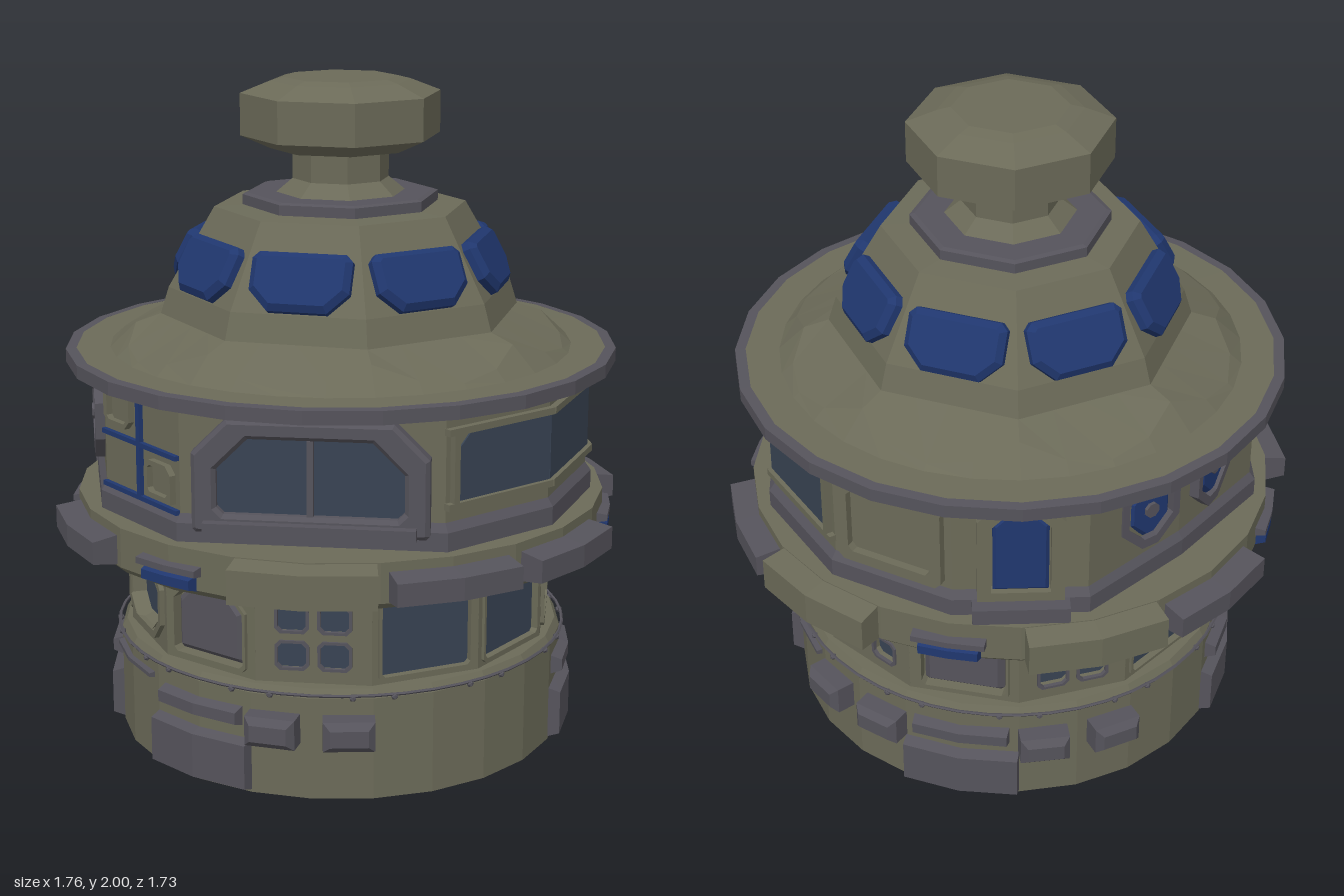
import * as THREE from 'three';

const mat = (color) => new THREE.MeshStandardMaterial({ color, flatShading: true, side: THREE.DoubleSide });
const olive = mat(0x6b6a58), grey = mat(0x55535b), blue = mat(0x20376f), glass = mat(0x384353);
const rad = THREE.MathUtils.degToRad;
const V = (x, y) => new THREE.Vector2(x, y);

export function createModel() {
  const root = new THREE.Group();
  root.name = 'tower';
  root.position.z = 0.018;

  const add = (name, geo, m, parent = root) => {
    const mesh = new THREE.Mesh(geo, m);
    mesh.name = name;
    parent.add(mesh);
    return mesh;
  };
  // Group facing outwards at an angle measured from +z towards +x
  const mount = (name, angle, r, y) => {
    const g = new THREE.Group(), a = rad(angle);
    g.name = name;
    g.position.set(Math.sin(a) * r, y, Math.cos(a) * r);
    g.rotation.y = a;
    root.add(g);
    return g;
  };
  const lathe = (name, pts, sides, m, start = 0) =>
    add(name, new THREE.LatheGeometry(pts.map((p) => V(...p)), sides, rad(start)), m);
  // Rectangle outline with cut corners
  const outline = (w, h, top = 0, bottom = 0, x = 0, y = 0) => [
    [-w / 2 + bottom, -h / 2], [w / 2 - bottom, -h / 2], [w / 2, -h / 2 + bottom], [w / 2, h / 2 - top],
    [w / 2 - top, h / 2], [-w / 2 + top, h / 2], [-w / 2, h / 2 - top], [-w / 2, -h / 2 + bottom],
  ].map(([a, b]) => V(a + x, b + y)).filter((p, i, all) => !i || p.distanceTo(all[i - 1]) > 1e-4);
  // Plate from z = 0 to z = depth, with optional holes and a bevelled front
  const plate = (name, pts, depth, m, parent, { holes = [], bevel = 0, z = 0, y = 0, x = 0 } = {}) => {
    const s = new THREE.Shape(pts);
    holes.forEach((h) => s.holes.push(new THREE.Path(h)));
    const geo = new THREE.ExtrudeGeometry(s, {
      depth: depth - bevel, bevelEnabled: bevel > 0, bevelSize: bevel, bevelThickness: bevel, bevelOffset: -bevel, bevelSegments: 1,
    });
    const mesh = add(name, geo, m, parent);
    mesh.position.set(x, y, z);
    return mesh;
  };
  const box = (name, w, h, d, m, parent, x = 0, y = 0, z = 0) => {
    const mesh = add(name, new THREE.BoxGeometry(w, h, d), m, parent);
    mesh.position.set(x, y, z);
    return mesh;
  };
  // Block bent around the tower, its outer face inset by a bevel
  const arcBlock = (name, angle, half, r0, r1, y0, y1, m, bevel = 0.015) => {
    const geo = new THREE.BoxGeometry(2, 1, 1, 2, 1, 1), p = geo.attributes.position;
    for (let i = 0; i < p.count; i++) {
      const out = p.getZ(i) > 0, b = out ? bevel : 0, r = out ? r1 : r0;
      const a = rad(angle) + p.getX(i) * (rad(half) - b);
      p.setXYZ(i, Math.sin(a) * r, p.getY(i) > 0 ? y1 - b : y0 + b, Math.cos(a) * r);
    }
    return add(name, geo, m);
  };

  // Open base drum with ledge
  lathe('baseDrum', [[0.685, 0], [0.685, 0.31], [0.67, 0.335], [0.6, 0.335]], 24, olive);
  for (const a of [0, 120, 210, 300]) {
    arcBlock('footBlock', a, 15.5, 0.66, 0.72, 0, 0.175, grey, 0.02).position.y = 0;
    arcBlock('footPanel', a, 13, 0.66, 0.715, 0.195, 0.27, grey, 0.02);
  }
  for (const a of [30, 180, 240])
    for (const s of [-1, 1]) {
      const g = mount('utilityBox', a + s * 9, 0.67, 0.215);
      plate('boxBody', outline(0.15, 0.09), 0.085, grey, g, { y: 0, bevel: 0.02 });
    }
  for (const a of [150, 330]) arcBlock('thinBar', a, 13, 0.66, 0.7, 0.258, 0.282, grey, 0.006);

  // Railing with knobs
  const rail = add('rail', new THREE.TorusGeometry(0.692, 0.005, 5, 48), grey);
  rail.rotation.x = Math.PI / 2;
  rail.position.y = 0.322;
  for (let k = 0; k < 12; k++)
    for (const s of [-5, 5])
      add('railKnob', new THREE.IcosahedronGeometry(0.011, 0), grey, mount('railMount', 15 + 30 * k + s, 0.69, 0.315));

  // Band of twelve wall panels: arch, four panes, window, hatch
  [...'AFWWAHFAFWAH'].forEach((type, k) => {
    const g = mount('bandPanel', 30 * k, 0.595, 0.475), wall = outline(0.338, 0.29);
    const frame = (holes) => plate('panelWall', wall, 0.035, olive, g, { holes });
    const sheet = (w, h, m) => box('panelBack', w, h, 0.004, m, g, 0, 0, 0.006);
    if (type === 'A') {
      const hole = outline(0.26, 0.225, 0.06, 0.012);
      frame([hole]);
      sheet(0.3, 0.26, olive);
      plate('archTrim', outline(0.28, 0.245, 0.066, 0.012), 0.014, olive, g, { holes: [hole], z: 0.033 });
      plate('archDoor', outline(0.245, 0.21, 0.055, 0.01), 0.04, grey, g, { bevel: 0.018 });
    } else if (type === 'F') {
      const panes = [];
      for (const x of [-0.062, 0.062])
        for (const y of [-0.056, 0.056]) panes.push(outline(0.1, 0.09, 0.015, 0.015, x, y));
      frame(panes);
      panes.forEach((p) => plate('paneTrim', p, 0.012, grey, g, {
        z: 0.03, holes: [p.map((q) => q.clone().sub(V(Math.sign(q.x) * 0.062, Math.sign(q.y) * 0.056)).multiplyScalar(0.82)
          .add(V(Math.sign(q.x) * 0.062, Math.sign(q.y) * 0.056)))],
      }));
      sheet(0.28, 0.24, glass);
    } else if (type === 'W') {
      const hole = outline(0.28, 0.235, 0.01, 0.01);
      frame([hole]);
      plate('windowTrim', outline(0.3, 0.255, 0.01, 0.01), 0.01, olive, g, { holes: [hole], z: 0.034 });
      box('windowGlass', 0.285, 0.24, 0.02, glass, g, 0, 0, 0.012);
    } else {
      frame([outline(0.27, 0.2, 0.05, 0.05)]);
      const funnel = add('hatchFunnel', new THREE.CylinderGeometry(0.145, 0.1, 0.06, 8, 1, true, Math.PI / 8), olive, g);
      funnel.rotation.x = Math.PI / 2;
      funnel.scale.z = 0.78;
      funnel.position.z = 0.02;
      plate('hatchTrim', outline(0.3, 0.23, 0.06, 0.06), 0.016, olive, g, { holes: [outline(0.26, 0.19, 0.048, 0.048)], z: 0.034 });
      plate('hatchGlass', outline(0.2, 0.15, 0.045, 0.045), 0.01, glass, g);
    }
  });
  lathe('bandCornice', [[0.6, 0.585], [0.652, 0.6], [0.665, 0.63]], 12, olive, 15);

  // Overhanging ring with plates and blue vents
  lathe('ring', [[0.61, 0.62], [0.785, 0.62], [0.805, 0.64], [0.805, 0.76], [0.62, 0.76]], 24, olive);
  [...'VOGGVGOVOGVG'].forEach((type, k) => {
    const a = 30 * k;
    if (type === 'O') arcBlock('ringBlock', a, 14.5, 0.78, 0.88, 0.635, 0.76, olive, 0.012);
    else if (type === 'G') arcBlock('ringPlate', a, 13.5, 0.78, 0.878, 0.64, 0.735, grey, 0.014);
    else {
      arcBlock('ventHood', a, 8, 0.78, 0.83, 0.68, 0.715, grey, 0.008);
      arcBlock('ventLight', a, 7, 0.78, 0.828, 0.632, 0.69, blue, 0.015);
    }
  });

  // Twelve-sided room, flattened at two corners
  const flatten = (mesh, n) => {
    const p = mesh.geometry.attributes.position;
    for (let i = 0; i < p.count; i++) {
      const k = Math.floor(i / n) % 12, f = k === 1 ? 0.866 : k === 9 ? 0.9 : 1;
      p.setXYZ(i, p.getX(i) * f, p.getY(i), p.getZ(i) * f);
    }
  };
  flatten(lathe('roomWall', [[0.75, 0.76], [0.75, 1.165]], 12, olive), 2);
  flatten(lathe('roomSkirt', [[0.768, 0.76], [0.768, 0.815], [0.75, 0.84]], 12, grey), 3);

  // Large framed window
  const bay = mount('bayWindow', 30, 0.63, 0.965);
  const bayHole = outline(0.53, 0.22, 0.09, 0.02);
  plate('bayFrame', outline(0.67, 0.33, 0.1, 0.01), 0.07, grey, bay, { holes: [bayHole], bevel: 0.012 });
  plate('bayGlass', outline(0.54, 0.23, 0.09, 0.02), 0.04, glass, bay);
  box('bayMullion', 0.018, 0.22, 0.06, grey, bay, 0, 0, 0.03);
  box('baySill', 0.6, 0.035, 0.1, grey, bay, 0, -0.145, 0.05);

  // Panorama window across four faces
  [75, 105, 135, 165].forEach((a, k) => {
    const g = mount('panorama', a, 0.724, 0.995), w = 0.194, end = k === 0 ? -1 : k === 3 ? 1 : 0;
    const L = end < 0 ? -w + 0.04 : -w, R = end > 0 ? w - 0.04 : w, cl = end < 0 ? 0.05 : 0, cr = end > 0 ? 0.05 : 0;
    const pts = [V(L, -0.1), V(R, -0.1), V(R, 0.1 - cr), V(R - cr - 1e-3, 0.1), V(L + cl + 1e-3, 0.1), V(L, 0.1 - cl)];
    plate('panoramaGlass', pts, 0.006, glass, g);
    for (const s of [-1, 1]) box('panoramaTrim', 0.394, 0.02, 0.03, olive, g, 0, s * 0.108, 0.005);
    if (end) box('panoramaEnd', 0.02, 0.236, 0.03, olive, g, end * 0.168, 0, 0.005);
  });

  // Cross-piped wall with two small boxes
  const cross = mount('pipeWall', 345, 0.724, 1);
  box('pipeUpright', 0.018, 0.32, 0.03, blue, cross);
  box('pipeRail', 0.385, 0.014, 0.03, blue, cross);
  box('pipeFoot', 0.385, 0.014, 0.03, blue, cross, 0, -0.16);
  for (const s of [-1, 1])
    plate('wallBox', outline(0.135, 0.11, s < 0 ? 0 : 0.025, s < 0 ? 0.025 : 0), 0.02, olive, cross,
      { holes: [outline(0.1, 0.08, 0.01, 0.01)], x: s * 0.105, y: -s * 0.085 });

  // Octagonal portholes
  for (const [a, r] of [[315, 0.724], [258, 0.672], [282, 0.672]]) {
    const g = mount('porthole', a, r, 1.005), w = a === 315 ? 1 : 0.8;
    plate('portholeFrame', outline(0.26 * w, 0.26, 0.075, 0.075), 0.03, grey, g, { holes: [outline(0.2 * w, 0.2, 0.058, 0.058)] });
    plate('portholeGlass', outline(0.18 * w, 0.19, 0.055, 0.055), 0.025, blue, g, { bevel: 0.012 });
    plate('portholeHub', outline(0.045, 0.045, 0.013, 0.013), 0.035, grey, g);
  }

  // Blue door and plain side panel
  const door = mount('door', 225, 0.724, 0.985);
  plate('doorFrame', outline(0.25, 0.33, 0.05), 0.035, olive, door, { holes: [outline(0.17, 0.27, 0.04)] });
  plate('doorLeaf', outline(0.16, 0.27, 0.04), 0.025, blue, door, { bevel: 0.01 });
  box('doorStep', 0.28, 0.05, 0.08, grey, door, 0, -0.195, 0.03);
  const side = mount('sidePanel', 195, 0.724, 1);
  plate('sidePanelFrame', outline(0.34, 0.31, 0.05, 0.02), 0.025, olive, side, { holes: [outline(0.27, 0.24, 0.04, 0.015)] });

  // Wide roof rim
  lathe('rimUnderside', [[0.64, 1.163], [0.805, 1.163]], 24, olive);
  lathe('rimEdge', [[0.8, 1.16], [0.832, 1.16], [0.832, 1.2], [0.8, 1.202]], 24, grey);
  lathe('rimTop', [[0.805, 1.2], [0.66, 1.202]], 24, olive);

  // Scalloped foot of the dome, merging into an octagon
  const foot = lathe('domeFoot', [[0.7, 1.2], [0.62, 1.275], [0.545, 1.3]], 32, olive);
  const p = foot.geometry.attributes.position;
  for (let i = 0; i < p.count; i++) {
    const t = Math.floor(i / 3) * Math.PI / 16, j = i % 3, w = Math.abs(Math.sin(4 * t));
    const flat = Math.cos(Math.PI / 8) / Math.cos((t % (Math.PI / 4)) - Math.PI / 8);
    const r = j === 0 ? 0.7 : j === 1 ? 0.62 + 0.06 * w : 0.545 * flat;
    p.setXYZ(i, Math.sin(t) * r, j === 1 ? 1.275 - 0.06 * w : p.getY(i), Math.cos(t) * r);
  }

  // Dome, cap disc, neck and head
  lathe('dome', [[0.545, 1.3], [0.52, 1.38], [0.38, 1.62], [0.2, 1.63]], 8, olive);
  lathe('capDisc', [[0.295, 1.62], [0.295, 1.655], [0.28, 1.66], [0, 1.66]], 8, grey);
  lathe('neck', [[0.2, 1.655], [0.145, 1.7], [0.145, 1.8]], 8, olive);
  lathe('head', [[0, 1.79], [0.21, 1.79], [0.3, 1.83], [0.3, 1.955], [0.21, 1.99], [0.17, 2], [0, 2]], 8, olive);

  // Eight blue dome windows
  for (let k = 0; k < 8; k++) {
    const g = mount('domeWindow', 22.5 + 45 * k, 0.437, 1.46);
    const tilt = new THREE.Group();
    tilt.name = 'domeWindowTilt';
    tilt.rotation.x = -0.49;
    g.add(tilt);
    plate('domeWindowGlass', outline(0.295, 0.175, 0.02, 0.06), 0.045, blue, tilt, { bevel: 0.018, z: -0.005 });
  }

  const model = new THREE.Group();
  model.name = 'model';
  model.add(root);
  return model;
}
